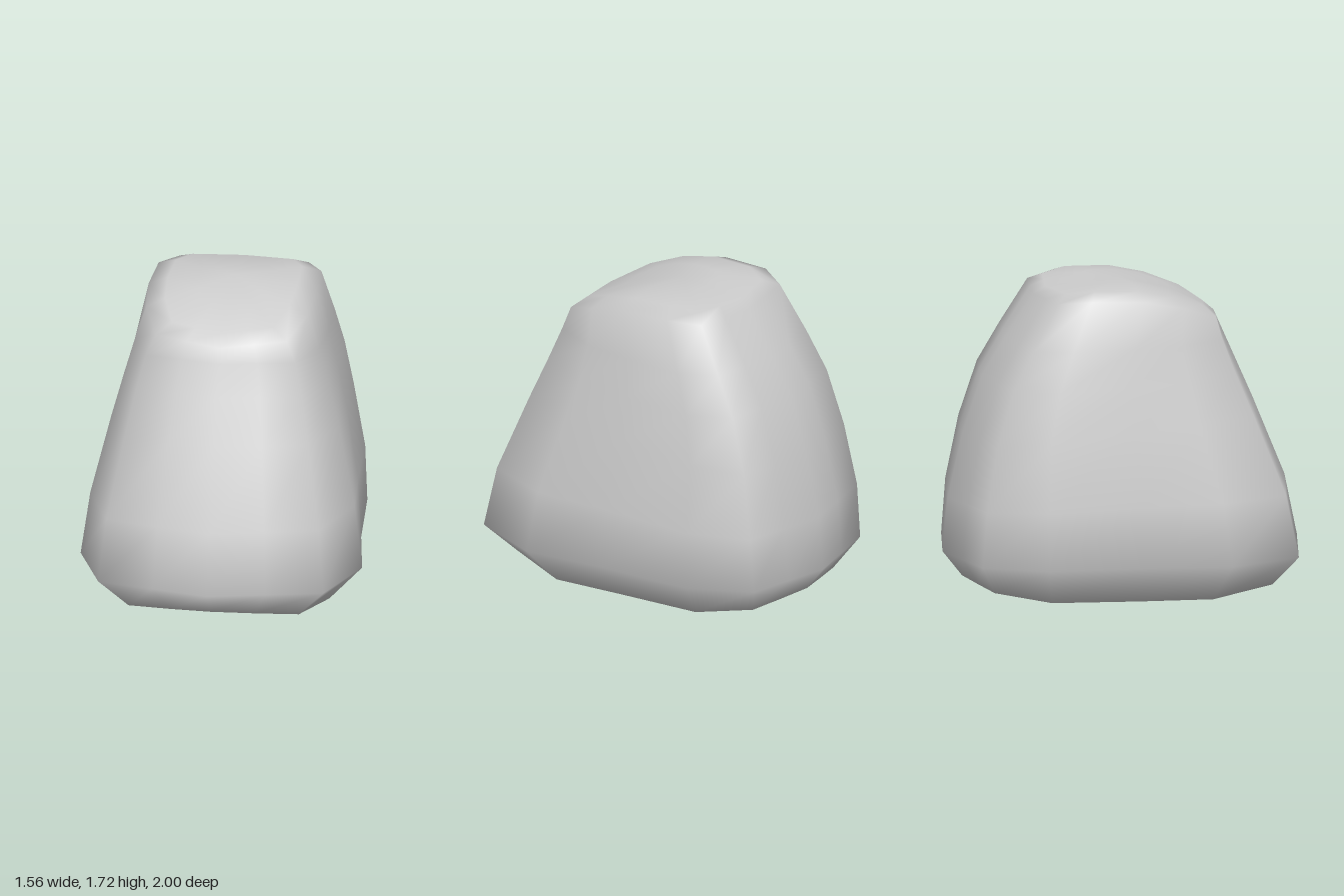
import * as THREE from 'three';

// Half outline from front centre round the +x side to back centre:
// [x at the base, x at the top, z], all as fractions of the ring size
const OUTLINE = [
  [0, 0, 1], [0.4, 0.4, 0.93], [0.8, 0.78, 0.86], [1, 0.96, 0.45], [0.91, 1, 0],
  [0.85, 0.97, -0.56], [0.62, 0.77, -0.89], [0.31, 0.38, -0.945], [0, 0, -1],
];

// Rings: half width, front z, back z, front y, side y, back y, power of the y curve
const RINGS = [
  [0.30, 0.45, -0.45, 0, 0, 0, 2],
  [0.59, 0.87, -0.89, 0.08, 0, 0.08, 4],
  [0.78, 1.00, -1.00, 0.22, 0.22, 0.22, 2],
  [0.74, 0.93, -0.97, 0.56, 0.56, 0.52, 2],
  [0.645, 0.75, -0.89, 1.00, 0.96, 0.87, 2],
  [0.585, 0.64, -0.78, 1.25, 1.20, 1.19, 2],
  [0.53, 0.565, -0.65, 1.42, 1.41, 1.40, 2],
  [0.465, 0.53, -0.49, 1.50, 1.66, 1.64, 2],
  [0.36, 0.46, -0.42, 1.56, 1.70, 1.68, 2],
  [0.19, 0.27, -0.21, 1.65, 1.71, 1.71, 2],
];

function bodyGeometry() {
  const half = OUTLINE.length - 1;
  const n = half * 2;
  const pos = [];
  const index = [];
  for (const [w, fz, bz, fy, sy, by, power] of RINGS) {
    const taper = THREE.MathUtils.clamp((sy - 0.22) / 1.3, 0, 1);
    for (let j = 0; j < n; j++) {
      // the second half mirrors the first
      const [x0, x1, u] = OUTLINE[j <= half ? j : n - j];
      const side = j <= half ? 1 : -1;
      const end = u > 0 ? fy : by;
      const bend = power === 2
        ? u * (fy - by) / 2 + u * u * ((fy + by) / 2 - sy)
        : (end - sy) * Math.abs(u) ** power;
      pos.push(side * w * THREE.MathUtils.lerp(x0, x1, taper),
        sy + bend,
        (fz + bz) / 2 + u * (fz - bz) / 2);
    }
  }
  // Skin between rings
  for (let i = 0; i < RINGS.length - 1; i++) {
    for (let j = 0; j < n; j++) {
      const a = i * n + j, b = i * n + (j + 1) % n;
      index.push(a, b, b + n, a, b + n, a + n);
    }
  }
  // Close the underside and the crown
  const low = pos.length / 3, high = low + 1, last = (RINGS.length - 1) * n;
  pos.push(0, 0, 0, 0, 1.715, -0.03);
  for (let j = 0; j < n; j++) {
    const k = (j + 1) % n;
    index.push(low, k, j, high, last + j, last + k);
  }
  const geo = new THREE.BufferGeometry();
  geo.setAttribute('position', new THREE.Float32BufferAttribute(pos, 3));
  geo.setIndex(index);
  geo.computeVertexNormals();
  return geo;
}

export function createModel() {
  const group = new THREE.Group();
  group.name = 'taperedBlock';
  const body = new THREE.Mesh(bodyGeometry(), new THREE.MeshStandardMaterial({ color: 0xcccccc }));
  body.name = 'body';
  group.add(body);
  return group;
}
